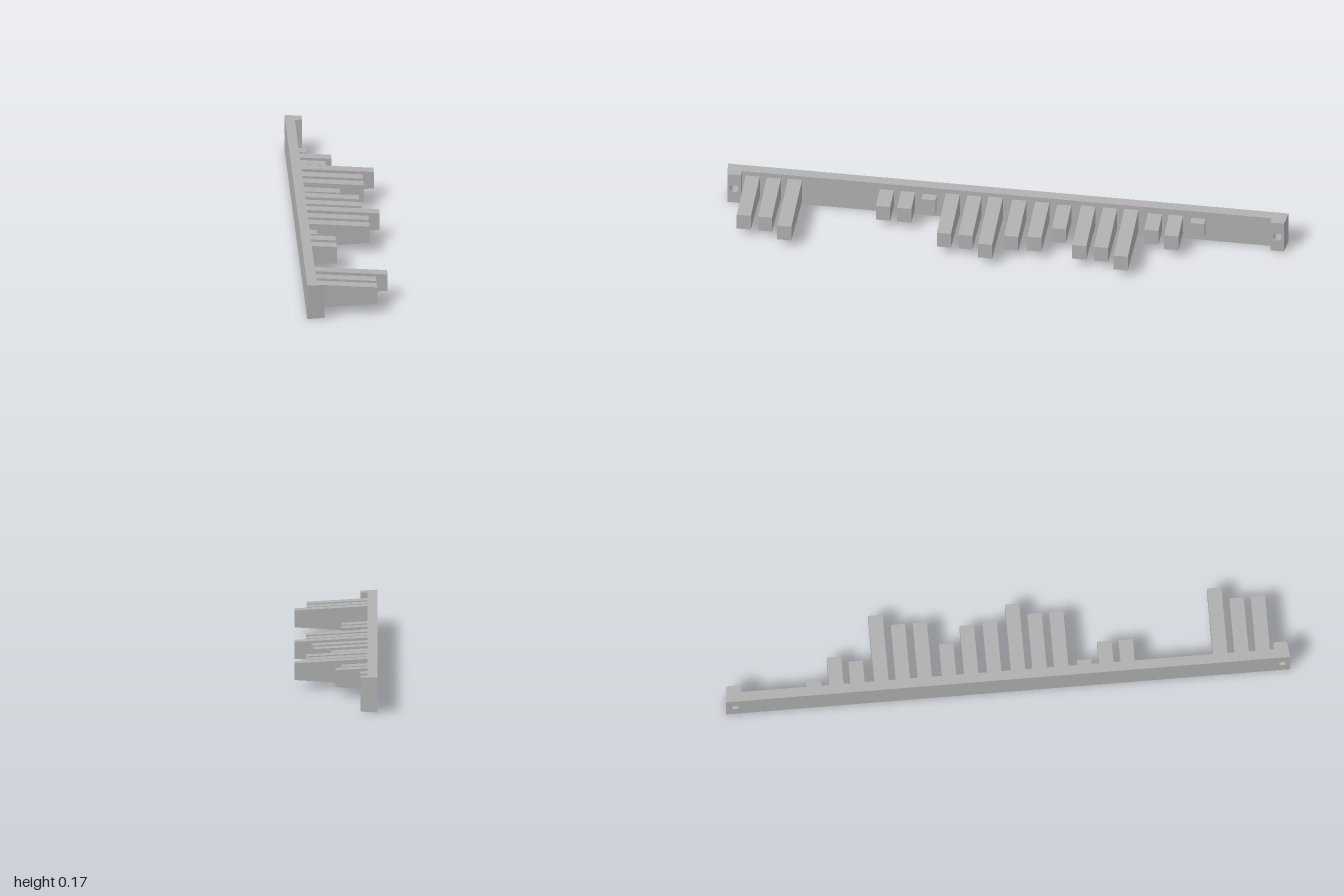
import * as THREE from 'three';

const LENGTH = 2.652, HEIGHT = 0.166, RAIL_DEPTH = 0.046, POST_DEPTH = 0.034;
const POST_WIDTH = 0.068, HOLE_RADIUS = 0.021, HOLE_X = LENGTH / 2 - 0.041;
const TOOTH_WIDTH = 0.067, TIP_HEIGHT = 0.08, DRAFT = 0.06;

// Position along the rail and reach from its back, for each tooth
const TEETH = [
  [-1.202, 0.332], [-1.102, 0.332], [-1.002, 0.388],
  [-0.567, 0.168], [-0.467, 0.168], [-0.365, 0.085],
  [-0.255, 0.334], [-0.153, 0.334], [-0.052, 0.389],
  [0.06, 0.31], [0.168, 0.302], [0.272, 0.219],
  [0.386, 0.334], [0.489, 0.334], [0.59, 0.388],
  [0.702, 0.168], [0.801, 0.198], [0.907, 0.084],
];

// Upright plate from x0 to x1, with round screw holes
function drilledPlate(x0, x1, height, depth, holes) {
  const h = height / 2;
  const shape = new THREE.Shape([
    new THREE.Vector2(x0, -h), new THREE.Vector2(x1, -h),
    new THREE.Vector2(x1, h), new THREE.Vector2(x0, h),
  ]);
  for (const x of holes) {
    shape.holes.push(new THREE.Path().absarc(x, 0, HOLE_RADIUS, 0, Math.PI * 2, true));
  }
  return new THREE.ExtrudeGeometry(shape, { depth, bevelEnabled: false, curveSegments: 24 });
}

// Move the vertices on the front side by a rule
function shapeFront(geometry, frontZ, rule) {
  const p = geometry.attributes.position;
  for (let i = 0; i < p.count; i++) {
    if (p.getZ(i) > frontZ - 1e-4) rule(p, i);
  }
  geometry.computeVertexNormals();
  return geometry;
}

export function createModel() {
  const model = new THREE.Group();
  model.name = 'toothedRail';
  const grey = new THREE.MeshStandardMaterial({ color: 0xb0b0b0 });
  grey.name = 'grey';

  const bar = new THREE.Group();
  bar.name = 'bar';
  bar.position.set(-0.026, HEIGHT / 2, -0.094);
  bar.rotation.y = 0.7518;
  model.add(bar);

  const add = (name, geometry, z) => {
    const mesh = new THREE.Mesh(geometry, grey);
    mesh.name = name;
    mesh.position.z = z;
    bar.add(mesh);
    return mesh;
  };

  // Long back rail, very slightly drafted at its top and bottom
  const rail = drilledPlate(-LENGTH / 2, LENGTH / 2, HEIGHT, RAIL_DEPTH, [-HOLE_X, HOLE_X]);
  shapeFront(rail, RAIL_DEPTH, (p, i) => {
    if (Math.abs(p.getY(i)) > HEIGHT / 2 - 1e-4) p.setY(i, p.getY(i) * 0.975);
    if (Math.abs(p.getX(i)) > LENGTH / 2 - 1e-4) p.setX(i, p.getX(i) - Math.sign(p.getX(i)) * 0.005);
  });
  add('rail', rail, 0);

  // Mounting posts at both ends, sloping inward on the outer side
  for (const side of [-1, 1]) {
    const outer = side * (LENGTH / 2 - 0.005), inner = side * (LENGTH / 2 - 0.005 - POST_WIDTH);
    const post = drilledPlate(Math.min(outer, inner), Math.max(outer, inner),
      HEIGHT * 0.975, POST_DEPTH, [side * HOLE_X]);
    shapeFront(post, POST_DEPTH, (p, i) => {
      if (Math.abs(p.getX(i) - outer) < 1e-4) p.setX(i, outer - side * 0.005);
    });
    add(side < 0 ? 'rightPost' : 'leftPost', post, RAIL_DEPTH);
  }

  // Teeth of varied length, growing taller toward the rail
  for (const [x, reach] of TEETH) {
    const start = RAIL_DEPTH - 0.01, length = reach - start;
    const baseHeight = TIP_HEIGHT + 2 * DRAFT * length;
    const tooth = new THREE.BoxGeometry(TOOTH_WIDTH, baseHeight, length).toNonIndexed();
    shapeFront(tooth, length / 2, (p, i) => p.setY(i, Math.sign(p.getY(i)) * TIP_HEIGHT / 2));
    add('tooth', tooth, start + length / 2).position.x = x;
  }
  return model;
}
